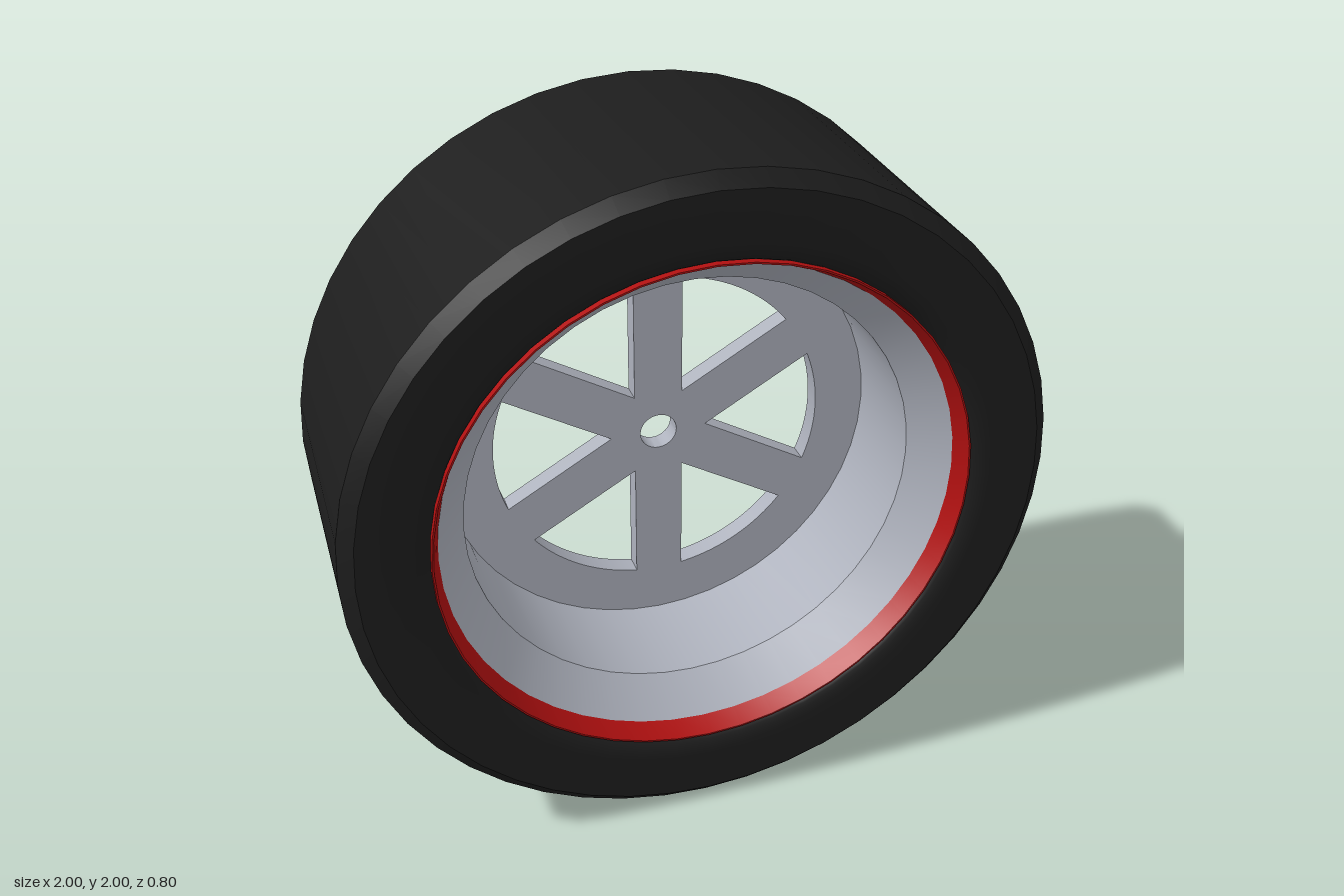
import * as THREE from 'three';
import { toCreasedNormals } from 'three/addons/utils/BufferGeometryUtils.js';

const SEGMENTS = 48;

// Closed ring turned about the z axis from [radius, z] points (outer side first, running towards +z)
function turnedRing(name, points, material, crease) {
  const profile = [...points, points[0]].map(([r, z]) => new THREE.Vector2(r, z));
  const geometry = new THREE.LatheGeometry(profile, SEGMENTS).rotateX(Math.PI / 2);
  const mesh = new THREE.Mesh(toCreasedNormals(geometry, crease), material);
  mesh.name = name;
  return mesh;
}

// Opening between two spokes, centred on the given angle
function spokeWindow(angle, radius, halfSpoke) {
  const half = Math.PI / 6;
  const inner = halfSpoke / Math.sin(half);
  const spread = half - Math.asin(halfSpoke / radius);
  const path = new THREE.Path();
  path.absarc(0, 0, radius, angle - spread, angle + spread, false);
  path.lineTo(inner * Math.cos(angle), inner * Math.sin(angle));
  path.closePath();
  return path;
}

export function createModel() {
  const rubber = new THREE.MeshStandardMaterial({ color: 0x1d1d1d });
  const metal = new THREE.MeshStandardMaterial({ color: 0xadb1bc });
  const red = new THREE.MeshStandardMaterial({ color: 0xb01010 });

  const wheel = new THREE.Group();
  wheel.name = 'wheel';

  // Tyre with chamfered shoulders and rounded beads
  const bead = [];
  for (let i = 0; i <= 6; i++) {
    const t = (i / 6) * Math.PI / 2;
    bead.push([0.82 - 0.06 * Math.sin(t), 0.36 + 0.04 * Math.cos(t)]);
  }
  const tyreProfile = [
    [0.96, -0.4], [1, -0.365], [1, 0.365], [0.96, 0.4],
    ...bead,
    ...bead.map(([r, z]) => [r, -z]).reverse(),
  ];
  wheel.add(turnedRing('tyre', tyreProfile, rubber, 0.65));

  // Red trim ring on the front lip
  wheel.add(turnedRing('trimRing', [[0.762, 0.33], [0.762, 0.39], [0.757, 0.39], [0.735, 0.33]], red, 0.25));

  // Rim barrel: front cone, straight seat for the disc, back cone
  wheel.add(turnedRing('rim', [
    [0.761, -0.35], [0.761, 0.33], [0.735, 0.33],
    [0.645, 0.22], [0.645, -0.28], [0.745, -0.35],
  ], metal, 0.25));

  // Disc with six spokes and a centre bore
  const disc = new THREE.Shape().absarc(0, 0, 0.65, 0, Math.PI * 2, false);
  disc.holes.push(new THREE.Path().absarc(0, 0, 0.055, 0, Math.PI * 2, true));
  for (let i = 0; i < 6; i++) disc.holes.push(spokeWindow(i * Math.PI / 3, 0.495, 0.072));
  const discGeometry = new THREE.ExtrudeGeometry(disc, { depth: 0.06, bevelEnabled: false, curveSegments: 24 });
  const spokes = new THREE.Mesh(toCreasedNormals(discGeometry, 0.5), metal);
  spokes.name = 'spokeDisc';
  spokes.position.z = -0.16;
  wheel.add(spokes);

  // Stand the wheel on the ground
  wheel.position.y = 1;
  const model = new THREE.Group();
  model.add(wheel);
  return model;
}
